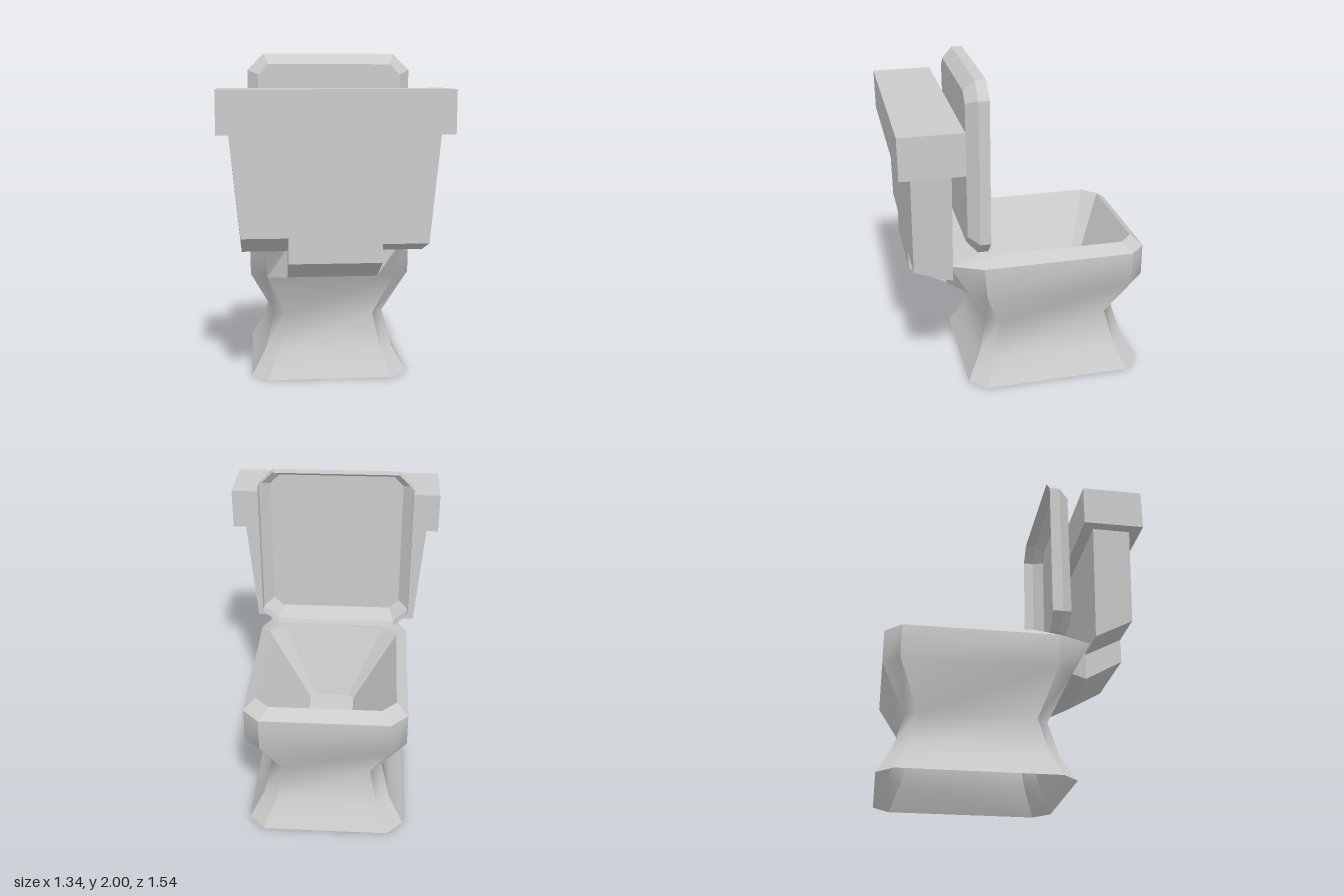
import * as THREE from 'three';

const smooth = new THREE.MeshStandardMaterial({ color: 0xcccccc, side: THREE.DoubleSide });
const flat = new THREE.MeshStandardMaterial({ color: 0xcccccc, side: THREE.DoubleSide, flatShading: true });

// Chamfered rectangle at height y; the back corners may be cut by (bx, bz)
function ring(y, x, front, back, c, bx = c, bz = c) {
  return [
    [x, front + c], [x, back - bz], [x - bx, back], [bx - x, back],
    [-x, back - bz], [-x, front + c], [c - x, front], [x - c, front],
  ].map(([px, pz]) => [px, y, pz]);
}

// Skin a stack of rings; the eight columns stay separate so corners are sharp
function loft(rings) {
  const pos = [], idx = [];
  for (let i = 0; i < 8; i++) {
    rings.forEach((r, j) => {
      const a = pos.length / 3;
      pos.push(...r[i], ...r[(i + 1) % 8]);
      if (j < rings.length - 1) idx.push(a, a + 2, a + 1, a + 1, a + 2, a + 3);
    });
  }
  const g = new THREE.BufferGeometry();
  g.setAttribute('position', new THREE.Float32BufferAttribute(pos, 3));
  g.setIndex(idx);
  g.computeVertexNormals();
  return g;
}

// Box whose corners are placed by a rule from their signs
function block(rule) {
  const g = new THREE.BoxGeometry(2, 2, 2).toNonIndexed();
  const p = g.attributes.position;
  for (let i = 0; i < p.count; i++) p.setXYZ(i, ...rule(p.getX(i), p.getY(i), p.getZ(i)));
  g.computeVertexNormals();
  return g;
}

export function createModel() {
  const model = new THREE.Group();
  const add = (name, geometry, material = flat) => {
    const mesh = new THREE.Mesh(geometry, material);
    mesh.name = name;
    model.add(mesh);
    return mesh;
  };

  // Waisted pedestal, open underneath, its top stretched back towards the tank
  const top = ring(0.86, 0.49, -0.77, 0.47, 0.1, 0.095, 0.2);
  add('pedestal', loft([
    ring(0, 0.49, -0.77, 0.365, 0.1),
    ring(0.16, 0.4, -0.685, 0.28, 0.08),
    ring(0.38, 0.345, -0.62, 0.22, 0.07),
    ring(0.655, 0.49, -0.77, 0.355, 0.1),
    top,
  ]), smooth);

  // Bevelled rim running down into the basin and its floor
  const ridge = ring(0.915, 0.42, -0.7, 0.215, 0.085);
  const floor = ring(0.45, 0.145, -0.485, 0.075, 0.035);
  add('rim', loft([top, ridge]));
  add('basin', loft([ridge, floor, ring(0.45, 0, -0.205, -0.205, 0)]));

  // Joint between bowl and tank
  add('joint', block((x, y, z) => z < 0
    ? [x * (y > 0 ? 0.395 : 0.39), y > 0 ? 0.86 : 0.655, y > 0 ? 0.47 : 0.355]
    : [x * 0.27, y > 0 ? 0.86 : 0.68, 0.47]));

  // Tank: a deep middle and two tapering sides with sloping undersides
  add('tankMiddle', block((x, y, z) => [
    x * 0.27, y > 0 ? 1.55 : z > 0 ? 0.81 : 0.68, z > 0 ? 0.7 : 0.47,
  ]));
  for (const s of [-1, 1]) {
    add(s > 0 ? 'tankLeft' : 'tankRight', block((x, y, z) => [
      s * (x * s < 0 ? 0.27 : y > 0 ? 0.6 : 0.54),
      y > 0 ? 1.55 : z < 0 ? 0.84 : s > 0 ? 0.92 : 0.96,
      z > 0 ? 0.7 : 0.47,
    ]));
  }
  add('tankLid', new THREE.BoxGeometry(1.335, 0.25, 0.37)).position.set(0, 1.675, 0.585);

  // Raised seat cover: an open shell with a bevelled back
  const cover = add('seatCover', loft([
    ring(0, 0.483, -0.5375, 0.5375, 0.095),
    ring(0.065, 0.483, -0.5375, 0.5375, 0.095),
    ring(0.13, 0.42, -0.475, 0.47, 0.06),
    ring(0.13, 0, 0, 0, 0),
  ]));
  cover.rotation.x = Math.PI / 2;
  cover.position.set(-0.01, 1.4625, 0.225);

  return model;
}
